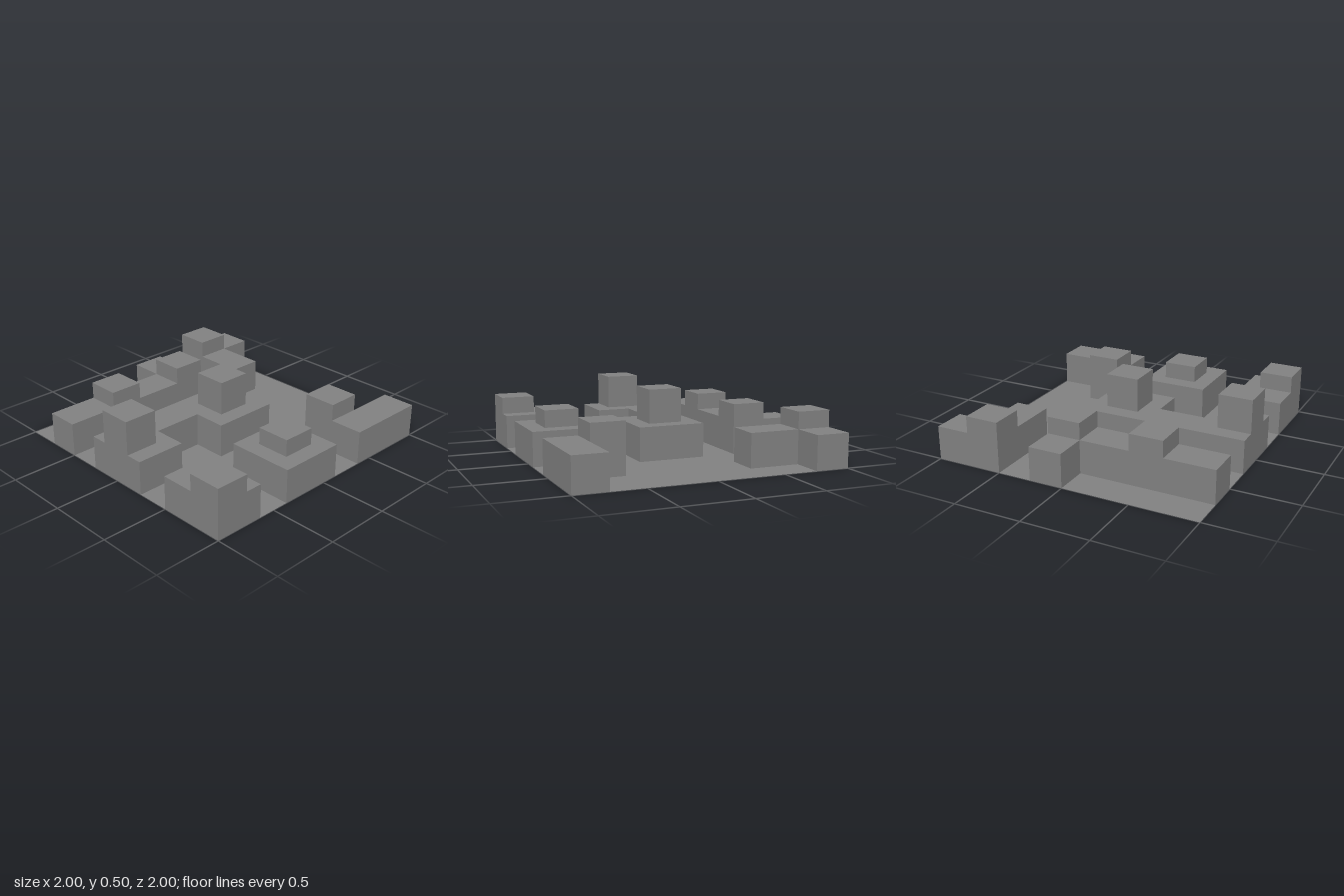
import * as THREE from 'three';

const CELL = 0.125, N = 16;

// Blocks as [name, x0, x1, z0, z1, height]; later blocks stand on earlier ones
const BLOCKS = [
  ['ground', -1, 1, -1, 1, 0],
  ['frontLeftCornerBase', -1, -0.625, 0.5, 1, 0.25],
  ['frontLeftCornerTower', -1, -0.75, 0.75, 1, 0.375],
  ['frontMiddleBase', -0.375, 0.125, 0.5, 1, 0.25],
  ['frontMiddleTower', -0.25, 0, 0.625, 0.875, 0.375],
  ['frontRowHouse', 0.375, 1, 0.75, 1, 0.25],
  ['frontRowTower', 0.375, 0.625, 0.5, 0.75, 0.375],
  ['centreBase', -1, 0.25, -0.25, 0, 0.25],
  ['centreWestWing', -1, -0.625, 0, 0.25, 0.25],
  ['centreEastWing', -0.25, 0.25, 0, 0.25, 0.25],
  ['centreWestTower', -1, -0.75, -0.125, 0.125, 0.5],
  ['centreEastTower', -0.125, 0.125, -0.125, 0.125, 0.5],
  ['backRowHouse', -1, 0, -0.75, -0.5, 0.25],
  ['backRowTower', -0.625, -0.375, -0.75, -0.5, 0.375],
  ['backRowEndTower', 0, 0.25, -0.75, -0.5, 0.375],
  ['backRowAnnex', 0, 0.25, -1, -0.75, 0.25],
  ['backCornerHouse', 0.75, 1, -1, -0.75, 0.25],
  ['backCornerTower', 0.5, 0.75, -1, -0.75, 0.375],
  ['backCornerWing', 0.5, 0.75, -0.75, -0.375, 0.25],
];

// Which block covers each cell of the plan
function layOutPlan() {
  const plan = Array.from({ length: N }, () => new Array(N).fill(0));
  const cell = v => Math.round((v + 1) / CELL);
  BLOCKS.forEach(([, x0, x1, z0, z1], b) => {
    for (let i = cell(x0); i < cell(x1); i++)
      for (let k = cell(z0); k < cell(z1); k++) plan[i][k] = b;
  });
  return plan;
}

// Open shell of one block: its uncovered roof, and walls down to lower neighbours
function blockGeometry(plan, b) {
  const points = [];
  const quad = (p, q, r, s) => points.push(...p, ...q, ...r, ...p, ...r, ...s);
  const heightAt = (i, k) => (plan[i]?.[k] === undefined ? 0 : BLOCKS[plan[i][k]][5]);
  const sides = [[-1, 0], [0, 1], [1, 0], [0, -1]];
  const h = BLOCKS[b][5];
  for (let i = 0; i < N; i++) {
    for (let k = 0; k < N; k++) {
      if (plan[i][k] !== b) continue;
      const x = -1 + i * CELL, z = -1 + k * CELL;
      const ring = [[x, z], [x, z + CELL], [x + CELL, z + CELL], [x + CELL, z]];
      quad(...ring.map(([px, pz]) => [px, h, pz]));
      sides.forEach(([di, dk], s) => {
        const low = heightAt(i + di, k + dk);
        if (low >= h) return;
        const [ax, az] = ring[s], [bx, bz] = ring[(s + 1) % 4];
        quad([ax, low, az], [bx, low, bz], [bx, h, bz], [ax, h, az]);
      });
    }
  }
  const geometry = new THREE.BufferGeometry();
  geometry.setAttribute('position', new THREE.Float32BufferAttribute(points, 3));
  geometry.computeVertexNormals();
  return geometry;
}

export function createModel() {
  const grey = new THREE.MeshStandardMaterial({ color: 0x808080, side: THREE.DoubleSide });
  grey.name = 'grey';
  const model = new THREE.Group();
  model.name = 'cityBlock';
  const plan = layOutPlan();
  BLOCKS.forEach(([name], b) => {
    const mesh = new THREE.Mesh(blockGeometry(plan, b), grey);
    mesh.name = name;
    model.add(mesh);
  });
  return model;
}
